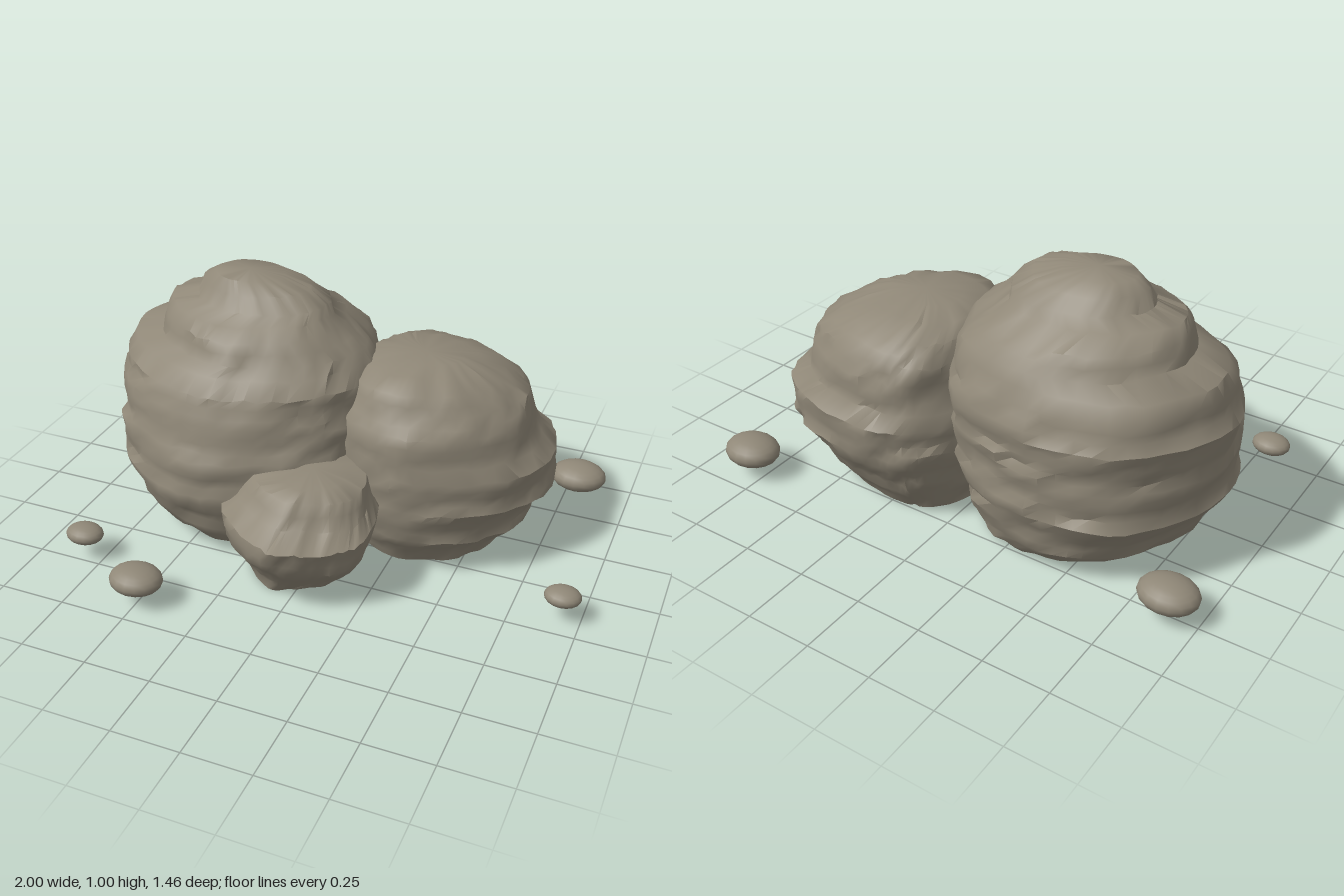
import * as THREE from 'three';
import { toCreasedNormals } from 'three/addons/utils/BufferGeometryUtils.js';

const SEGMENTS = 60;
const LAYER = 0.035; // spacing of the rings
const STRATUM = 0.15; // height from one ledge to the next

// Repeatable value from -1 to 1
function hash(a, b) {
  const s = Math.sin(a * 127.1 + b * 311.7) * 43758.5453;
  return 2 * (s - Math.floor(s)) - 1;
}

// Fill in thin layers between the key rings [y, xMin, xMax, zMin, zMax]
function splitLayers(keys) {
  const rings = [keys[0]];
  for (let k = 1; k < keys.length; k++) {
    const from = keys[k - 1], to = keys[k];
    const steps = Math.max(1, Math.round((to[0] - from[0]) / LAYER));
    for (let s = 1; s <= steps; s++) rings.push(from.map((v, i) => v + (to[i] - v) * s / steps));
  }
  return rings;
}

// Weathered rock: a plan outline [x, z] fitted into each layer, with chips and ragged ledges
function boulderGeometry(seed, outline, keys) {
  const curve = new THREE.CatmullRomCurve3(outline.map(([x, z]) => new THREE.Vector3(x, 0, z)), true);
  const plan = Array.from({ length: SEGMENTS }, (_, i) => curve.getPoint(i / SEGMENTS));
  const box = new THREE.Box3().setFromPoints(plan);
  const size = box.getSize(new THREE.Vector3());
  const rings = splitLayers(keys);

  const loops = rings.map(([y, x0, x1, z0, z1], k) => plan.map((p, i) => {
    const t = (i / SEGMENTS) * Math.PI * 2;
    const inner = k > 0 && k < rings.length - 1;
    const wave = Math.sin(3 * t + seed + y * 5) + 0.7 * Math.sin(7 * t + seed * 2 + y * 17);
    const chip = hash(Math.floor(i / 2) + seed, k);
    // Each stratum leans outwards, then steps back above its lip
    const phase = y / STRATUM + 0.2 * Math.sin(2 * t + seed) + 0.1 * Math.sin(5 * t);
    const ledge = phase - Math.floor(phase) - 0.5;
    const scale = 0.99 + 0.009 * wave + 0.011 * chip + 0.04 * ledge;
    const lift = inner ? 0.008 * Math.sin(2 * t + seed) + 0.006 * hash(i + seed, k + 40) : 0;
    const u = (p.x - box.min.x) / size.x - 0.5, v = (p.z - box.min.z) / size.z - 0.5;
    return [(x0 + x1) / 2 + u * (x1 - x0) * scale, y + lift, (z0 + z1) / 2 + v * (z1 - z0) * scale];
  }));

  // Walls, closed by a flat base and a slightly domed top
  const centre = ([y, x0, x1, z0, z1], rise) => [(x0 + x1) / 2, y + rise, (z0 + z1) / 2];
  const base = centre(rings[0], 0), peak = centre(rings.at(-1), 0.012);
  const top = loops.at(-1);
  const pos = [];
  for (let i = 0; i < SEGMENTS; i++) {
    const j = (i + 1) % SEGMENTS;
    pos.push(...base, ...loops[0][i], ...loops[0][j]);
    for (let k = 0; k + 1 < loops.length; k++) {
      const a = loops[k][i], b = loops[k][j], c = loops[k + 1][i], d = loops[k + 1][j];
      pos.push(...a, ...c, ...b, ...b, ...c, ...d);
    }
    pos.push(...top[i], ...peak, ...top[j]);
  }
  const geometry = new THREE.BufferGeometry();
  geometry.setAttribute('position', new THREE.Float32BufferAttribute(pos, 3));
  return toCreasedNormals(geometry, 0.8);
}

export function createModel() {
  const model = new THREE.Group();
  model.name = 'rockCluster';
  const stone = new THREE.MeshStandardMaterial({ color: 0x8f8777 });
  stone.name = 'stone';

  const addPart = (name, geometry) => {
    const mesh = new THREE.Mesh(geometry, stone);
    mesh.name = name;
    model.add(mesh);
    return mesh;
  };

  addPart('tallBoulder', boulderGeometry(1,
    [[0.13, -0.05], [0.02, 0.18], [-0.25, 0.33], [-0.52, 0.35], [-0.82, 0.16], [-0.92, -0.17], [-0.73, -0.51], [-0.4, -0.61], [-0.06, -0.51], [0.06, -0.32]],
    [
      [0, -0.64, 0.02, -0.48, 0.18], [0.04, -0.73, 0.05, -0.52, 0.23], [0.1, -0.81, 0.07, -0.55, 0.28],
      [0.22, -0.88, 0.1, -0.59, 0.33], [0.27, -0.91, 0.12, -0.61, 0.35], [0.41, -0.91, 0.13, -0.61, 0.35],
      [0.57, -0.92, 0.13, -0.62, 0.3], [0.67, -0.89, 0.12, -0.59, 0.27], [0.72, -0.86, 0.1, -0.55, 0.2],
      [0.76, -0.76, 0.07, -0.53, 0.17], [0.83, -0.73, -0.02, -0.48, 0.14], [0.87, -0.7, -0.06, -0.38, 0.08],
      [0.9, -0.61, -0.08, -0.35, 0.02], [0.95, -0.58, -0.15, -0.31, -0.01], [0.987, -0.53, -0.26, -0.26, -0.05]
    ]));

  addPart('wideBoulder', boulderGeometry(5,
    [[0.76, -0.22], [0.6, 0.04], [0.3, 0.16], [0.02, 0.02], [-0.06, -0.32], [0.06, -0.59], [0.22, -0.655], [0.5, -0.62], [0.7, -0.49]],
    [
      [0, 0.02, 0.58, -0.5, 0.04], [0.06, 0, 0.61, -0.54, 0.07], [0.14, -0.03, 0.69, -0.59, 0.13],
      [0.24, -0.05, 0.72, -0.64, 0.15], [0.28, -0.06, 0.77, -0.66, 0.16], [0.41, -0.06, 0.77, -0.66, 0.16],
      [0.46, -0.05, 0.71, -0.62, 0.16], [0.57, -0.03, 0.67, -0.6, 0.14], [0.63, -0.02, 0.64, -0.58, 0.09],
      [0.69, 0.01, 0.56, -0.51, 0.05], [0.725, 0.05, 0.48, -0.41, -0.03], [0.745, 0.13, 0.41, -0.32, -0.12]
    ]));

  addPart('smallBoulder', boulderGeometry(9,
    [[0.25, 0.22], [0.23, 0.41], [0.1, 0.51], [-0.04, 0.56], [-0.28, 0.39], [-0.32, 0.15], [-0.15, -0.04], [0.12, -0.02]],
    [
      [0, -0.24, 0.06, 0.02, 0.4], [0.04, -0.26, 0.13, 0, 0.42], [0.1, -0.29, 0.2, -0.03, 0.46],
      [0.18, -0.32, 0.24, -0.06, 0.54], [0.28, -0.32, 0.26, -0.06, 0.56], [0.32, -0.29, 0.23, -0.05, 0.47],
      [0.4, -0.23, 0.2, -0.03, 0.41], [0.425, -0.13, 0.13, 0.05, 0.35]
    ]));

  // Flattened pebbles scattered around the boulders: x, z, x radius, z radius
  const pebbleShape = new THREE.SphereGeometry(1, 16, 12);
  [
    [-0.89, -0.505, 0.11, 0.09], [0.8, -0.643, 0.11, 0.092], [0.93, 0.16, 0.067, 0.056],
    [-0.82, 0.465, 0.073, 0.06], [-0.5, 0.64, 0.1, 0.085]
  ].forEach(([x, z, rx, rz], i) => {
    const pebble = addPart(`pebble${i + 1}`, pebbleShape);
    pebble.position.set(x, 0.1, z);
    pebble.scale.set(rx, rx * 0.5, rz);
  });
  return model;
}
